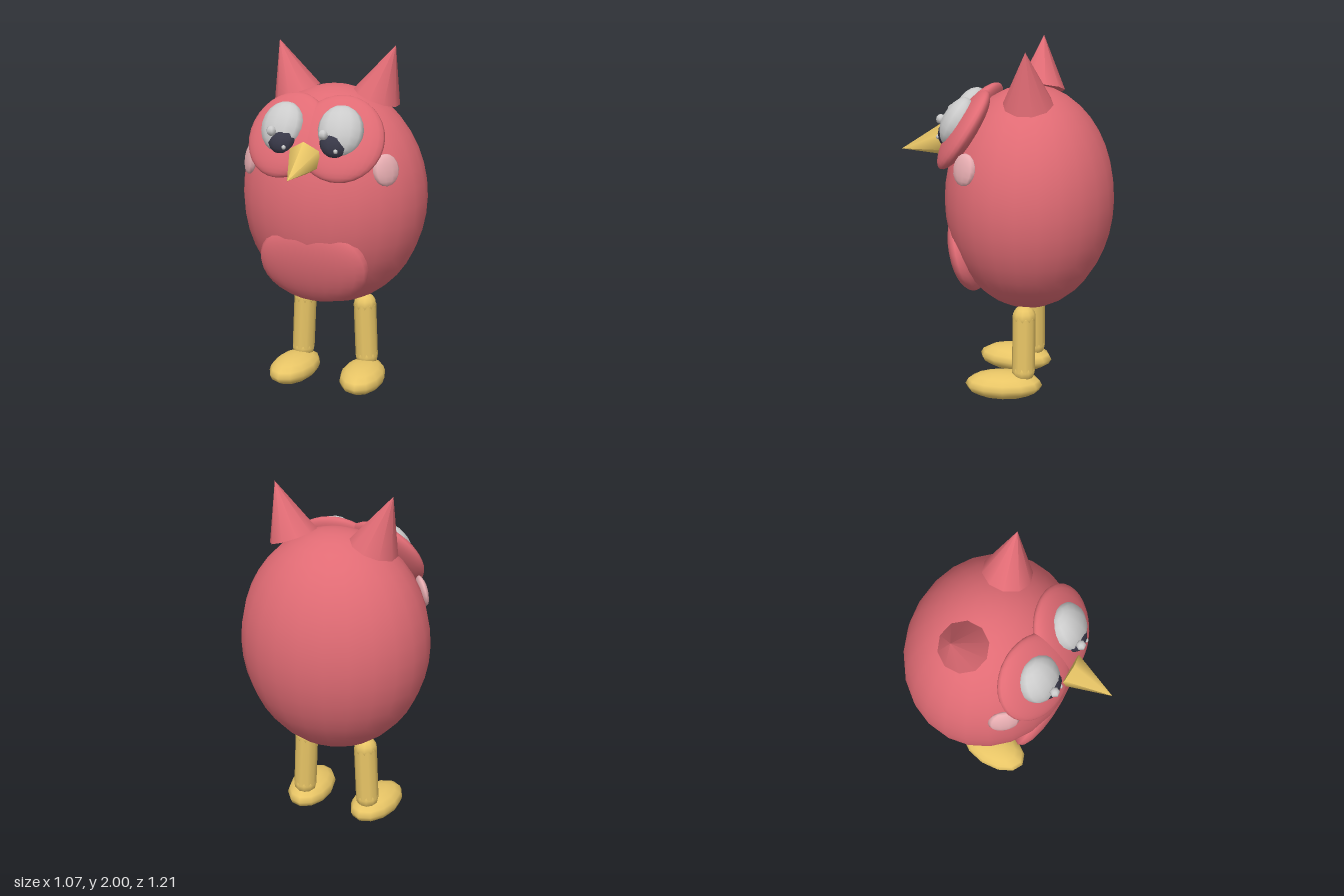
import * as THREE from 'three';

const paint = (color) => new THREE.MeshStandardMaterial({ color });

export function createModel() {
  const group = new THREE.Group();
  const red = paint(0xe06b74), gold = paint(0xe8c566), pink = paint(0xe8aeb2);
  const grey = paint(0xcccccc), dark = paint(0x3a3a4a);

  const add = (name, geometry, material, position, rotation = [0, 0, 0]) => {
    const mesh = new THREE.Mesh(geometry, material);
    mesh.name = name;
    mesh.position.set(...position);
    mesh.rotation.set(...rotation, 'YXZ');
    group.add(mesh);
    return mesh;
  };

  // Ellipsoid from radii, with its own segment counts
  const ellipsoid = (name, material, position, radii, rotation, w = 12, h = 10) =>
    add(name, new THREE.SphereGeometry(1, w, h), material, position, rotation).scale.set(...radii);

  // Egg-shaped body and tummy patch
  ellipsoid('body', red, [0, 1.135, -0.13], [0.535, 0.635, 0.475], [0, 0, 0], 24, 20);
  ellipsoid('belly', red, [0, 0.82, 0.22], [0.32, 0.245, 0.09], [0.25, 0, 0], 20, 16);

  // Beak, a six-sided cone pointing forward and slightly down
  add('beak', new THREE.ConeGeometry(0.096, 0.268, 6), gold, [0, 1.418, 0.475], [Math.PI / 2 + 0.245, 0, 0]);

  for (const s of [-1, 1]) {
    const side = s > 0 ? 'left' : 'right';

    // Ear tufts lean outward
    add(side + 'Ear', new THREE.ConeGeometry(0.137, 0.31, 10), red, [s * 0.29, 1.855, -0.155], [0, 0, -s * 0.35]);

    // Facial disc and eye lie against the curve of the head
    ellipsoid(side + 'FaceDisc', red, [s * 0.153, 1.54, 0.215], [0.24, 0.25, 0.07], [-0.57, s * 0.22, 0], 24, 16);
    ellipsoid(side + 'Eye', grey, [s * 0.167, 1.59, 0.25], [0.125, 0.142, 0.078], [-0.5, s * 0.2, 0], 12, 10);
    ellipsoid(side + 'Pupil', dark, [s * 0.152, 1.535, 0.305], [0.082, 0.082, 0.05], [-0.3, s * 0.12, 0], 10, 8);

    // Eye glints sit on the same side of both pupils
    ellipsoid(side + 'Glint', grey, [s * 0.147 - 0.043, 1.585, 0.352], [0.028, 0.028, 0.028], [0, 0, 0], 6, 6);
    ellipsoid(side + 'SmallGlint', grey, [s * 0.147 + 0.027, 1.5, 0.352], [0.013, 0.013, 0.013], [0, 0, 0], 6, 6);

    // Cheek patch
    ellipsoid(side + 'Cheek', pink, [s * 0.395, 1.375, 0.163], [0.085, 0.088, 0.028], [-0.2, s * 0.92, 0], 10, 8);

    // Leg: tapered tilt outward, rounded hip and ankle
    const hip = new THREE.Vector3(s * 0.186, 0.485, -0.13);
    const ankle = new THREE.Vector3(s * 0.2, 0.165, -0.13);
    const mid = hip.clone().add(ankle).multiplyScalar(0.5);
    const tilt = s * Math.atan2(0.014, 0.32);
    add(side + 'Leg', new THREE.CylinderGeometry(0.066, 0.066, hip.distanceTo(ankle), 10), gold, mid.toArray(), [0, 0, tilt]);
    ellipsoid(side + 'Hip', gold, hip.toArray(), [0.067, 0.067, 0.067], [0, 0, 0], 10, 8);
    ellipsoid(side + 'Ankle', gold, ankle.toArray(), [0.067, 0.067, 0.067], [0, 0, 0], 10, 8);

    // Long flat foot, toes slightly out
    ellipsoid(side + 'Foot', gold, [s * 0.212, 0.078, -0.018], [0.13, 0.078, 0.22], [0, s * 0.1, 0], 12, 8);
  }
  return group;
}
